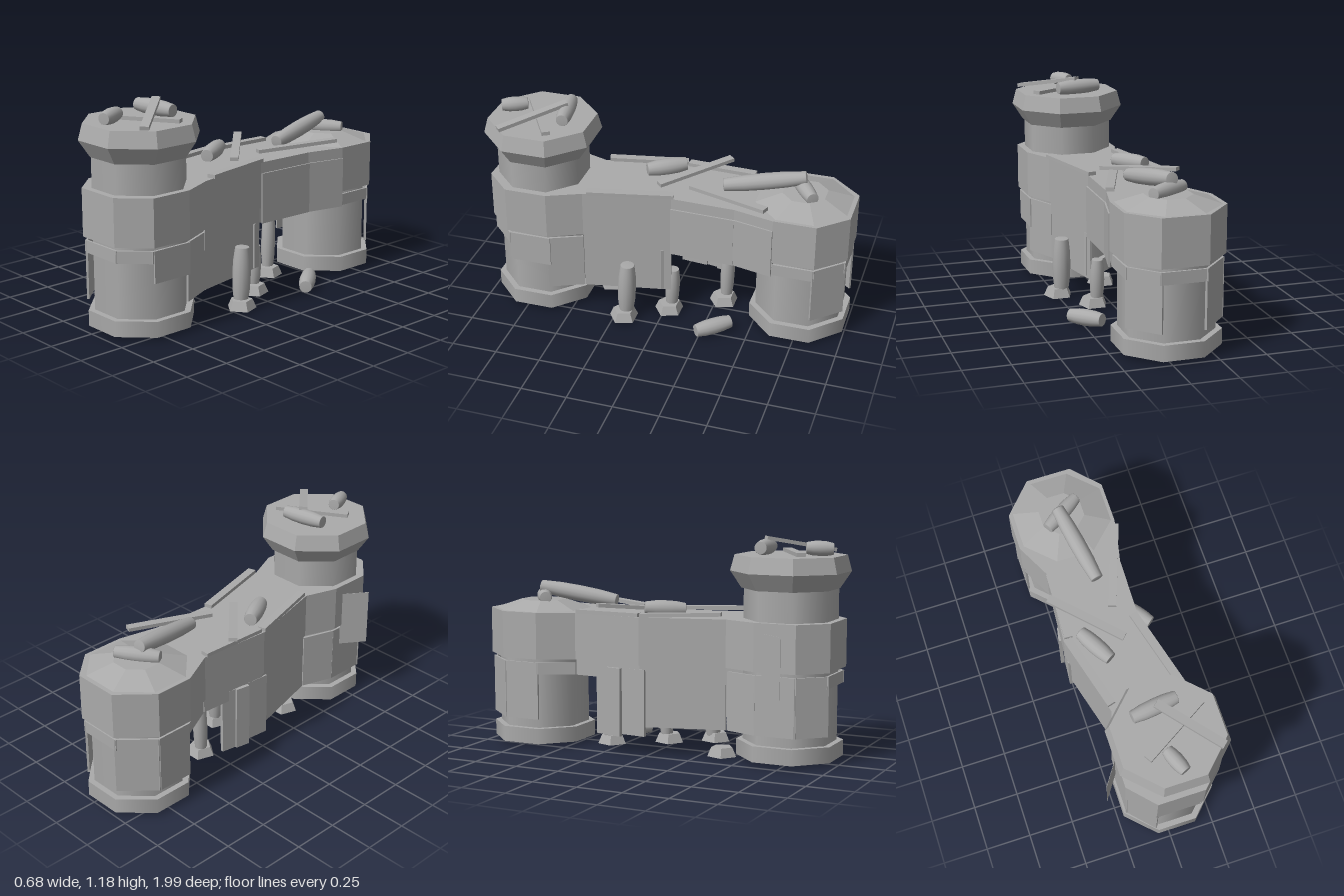
import * as THREE from 'three';

export function createModel() {
  const model = new THREE.Group();
  const stone = new THREE.MeshStandardMaterial({ color: 0xaaaaaa, side: THREE.DoubleSide });
  stone.name = 'grey stone';

  const add = (geo, name, x = 0, y = 0, z = 0) => {
    const m = new THREE.Mesh(geo, stone);
    m.name = name;
    m.position.set(x, y, z);
    model.add(m);
    return m;
  };
  const faceted = (geo) => {
    const g = geo.toNonIndexed();
    g.computeVertexNormals();
    return g;
  };
  // Aims a part's z axis from a to b
  const span = (geo, name, a, b) => {
    const p = new THREE.Vector3(...a), q = new THREE.Vector3(...b);
    const m = add(geo, name);
    m.position.copy(p).add(q).multiplyScalar(0.5);
    m.lookAt(q);
    return m;
  };
  const dist = (a, b) => Math.hypot(b[0] - a[0], b[1] - a[1], b[2] - a[2]);
  const plank = (name, a, b, w = 0.045, h = 0.02) =>
    span(new THREE.BoxGeometry(w, h, dist(a, b)), name, a, b);
  // Upright panel between two x, z points
  const panel = (name, [x, z], [x2, z2], y0, y1, thick) => {
    const y = (y0 + y1) / 2;
    return plank(name, [x, y, z], [x2, y, z2], thick, y1 - y0);
  };
  // Log swelling at the middle, with flat ends
  const log = (name, a, b, r) => {
    const l = dist(a, b) / 2;
    const profile = [[0, -l], [r * 0.74, -l], [r * 0.77, -l * 0.98], [r * 0.95, -l * 0.5], [r, 0],
      [r * 0.95, l * 0.5], [r * 0.77, l * 0.98], [r * 0.74, l], [0, l]];
    const geo = new THREE.LatheGeometry(profile.map(p => new THREE.Vector2(...p)), 14);
    geo.rotateX(Math.PI / 2);
    return span(geo, name, a, b);
  };

  // Plan: two octagonal ends joined by a bent wall
  const plan = [
    [-0.19, -1], [0.06, -1], [0.2, -0.85], [0.2, -0.62], [0.15, -0.4], [0.14, -0.05],
    [0.23, 0.42], [0.31, 0.6], [0.31, 0.83], [0.17, 0.97], [-0.09, 0.97], [-0.22, 0.83],
    [-0.22, 0.6], [-0.16, 0.42], [-0.28, -0.03], [-0.25, -0.43], [-0.345, -0.62], [-0.345, -0.83],
  ];
  const roof = new THREE.ExtrudeGeometry(
    new THREE.Shape(plan.map(([x, z]) => new THREE.Vector2(x, -z))), { depth: 0.02, bevelEnabled: false });
  roof.rotateX(-Math.PI / 2);
  add(roof, 'roof', 0, 0.74, 0);

  // Hollow upper wall over a skirt; some skirt panels reach further down
  const low = new Set([1, 5, 6, 10, 11, 12, 13, 16, 17]);
  const middle = new Set([3, 4, 5, 13, 14]);
  plan.forEach((p, i) => {
    const q = plan[(i + 1) % plan.length];
    panel('upperWall', p, q, 0.505, 0.76, 0.02).translateX(-0.01);
    panel('skirtPanel', p, q, low.has(i) ? 0.17 : 0.42, middle.has(i) ? 0.51 : 0.485, 0.012).translateX(-0.017);
  });

  // Hollow eight-sided towers with a wider collar at the foot
  const eighth = Math.PI / 8;
  const tube = (name, r, x, z, y0, y1) =>
    add(new THREE.CylinderGeometry(r, r, y1 - y0, 8, 1, true, eighth), name, x, (y0 + y1) / 2, z);
  for (const [name, x, z, top] of [['front', 0.043, 0.705, 0.95], ['back', -0.063, -0.735, 0.745]]) {
    tube(name + 'Tower', 0.249, x, z, 0.115, top);
    tube(name + 'Collar', 0.283, x, z, 0.03, 0.115);
    const lip = new THREE.RingGeometry(0.249, 0.283, 8, 1, eighth);
    lip.rotateX(-Math.PI / 2);
    add(lip, name + 'CollarLip', x, 0.115, z);
  }

  // Flared cap on the front tower
  add(faceted(new THREE.CylinderGeometry(0.318, 0.258, 0.09, 8, 1, false, eighth)), 'capFlare', 0.045, 0.965, 0.7);
  add(faceted(new THREE.CylinderGeometry(0.295, 0.318, 0.085, 8, 1, false, eighth)), 'capTop', 0.045, 1.0525, 0.7);

  // Low mound on the back roof
  const mound = add(faceted(new THREE.CylinderGeometry(0.13, 0.29, 0.05, 8, 1, false, eighth)), 'roofMound', -0.07, 0.782, -0.73);
  mound.scale.set(0.97, 1, 0.95);

  // Applied plates on the walls
  panel('sidePlate', [0.147, -0.05], [0.157, -0.4], 0.42, 0.7, 0.009);
  panel('sidePlate', [0.155, -0.4], [0.203, -0.62], 0.42, 0.7, 0.009);
  panel('windowPlate', [0.296, 0.59], [0.296, 0.82], 0.315, 0.485, 0.009);
  panel('leaningPlate', [-0.305, 0.78], [-0.215, 0.65], 0.385, 0.705, 0.002);

  // Ragged boards hanging below the wall
  const boards = [[-0.265, 0, -0.15, 0.12], [-0.275, -0.14, -0.22, 0.11], [-0.25, -0.21, -0.3, 0.11]];
  for (const [x, z0, z1, y0] of boards) panel('hangingBoard', [x, z0], [x + 0.015, z1], y0, 0.48, 0.02);
  panel('hangingBoard', [0.13, -0.005], [0.14, 0.01], 0.175, 0.425, 0.02);

  // Parapet boards along the wall top
  const parapets = [
    [[-0.235, 0.77, -0.42], [-0.25, 0.77, -0.04]], [[-0.26, 0.77, -0.03], [-0.15, 0.785, 0.39]],
    [[0.12, 0.77, -0.06], [0.235, 0.78, 0.39]],
  ];
  for (const [a, b] of parapets) plank('parapetBoard', a, b);

  // Loose planks and logs on the roofs
  plank('loosePlank', [-0.29, 0.815, -0.27], [0.035, 0.775, 0.05]);
  plank('loosePlank', [0.025, 0.79, -0.13], [0.185, 0.81, -0.575]);
  plank('capPlank', [-0.1, 1.105, 0.81], [0.25, 1.105, 0.6]);
  plank('capPlank', [0.02, 1.18, 0.57], [0.285, 1.11, 0.86]);
  log('capLog', [-0.11, 1.135, 0.59], [0.135, 1.13, 0.555], 0.043);
  log('capLog', [0, 1.135, 0.8], [0.055, 1.13, 0.93], 0.04);
  log('roofLog', [-0.09, 0.88, -0.73], [-0.005, 0.81, -0.3], 0.045);
  log('roofLog', [-0.17, 0.825, -0.66], [0.03, 0.825, -0.79], 0.042);
  log('roofLog', [-0.185, 0.8, -0.04], [-0.075, 0.79, 0.15], 0.046);
  log('fallenLog', [0.17, 0.06, -0.4], [0.3, 0.05, -0.24], 0.045);

  // Upright posts with rough stone feet
  const foot = (x, z, y = 0.045) =>
    add(faceted(new THREE.CylinderGeometry(0.06, 0.082, 0.05, 5)), 'postFoot', x, y, z);
  const posts = [[0.23, 0.18, 0.355, 0.05], [0.09, -0.04, 0.285, 0.04], [-0.08, -0.31, 0.375, 0.04]];
  for (const [x, z, top, r] of posts) {
    log('post', [x, 0.05, z], [x, top, z - 0.01], r);
    foot(x + 0.015, z + 0.01);
  }
  foot(-0.06, 0.36, 0.035);

  // Stand on the ground, centred
  const box = new THREE.Box3().setFromObject(model);
  const mid = box.getCenter(new THREE.Vector3());
  for (const m of model.children) m.position.sub(new THREE.Vector3(mid.x, box.min.y, mid.z));
  return model;
}
